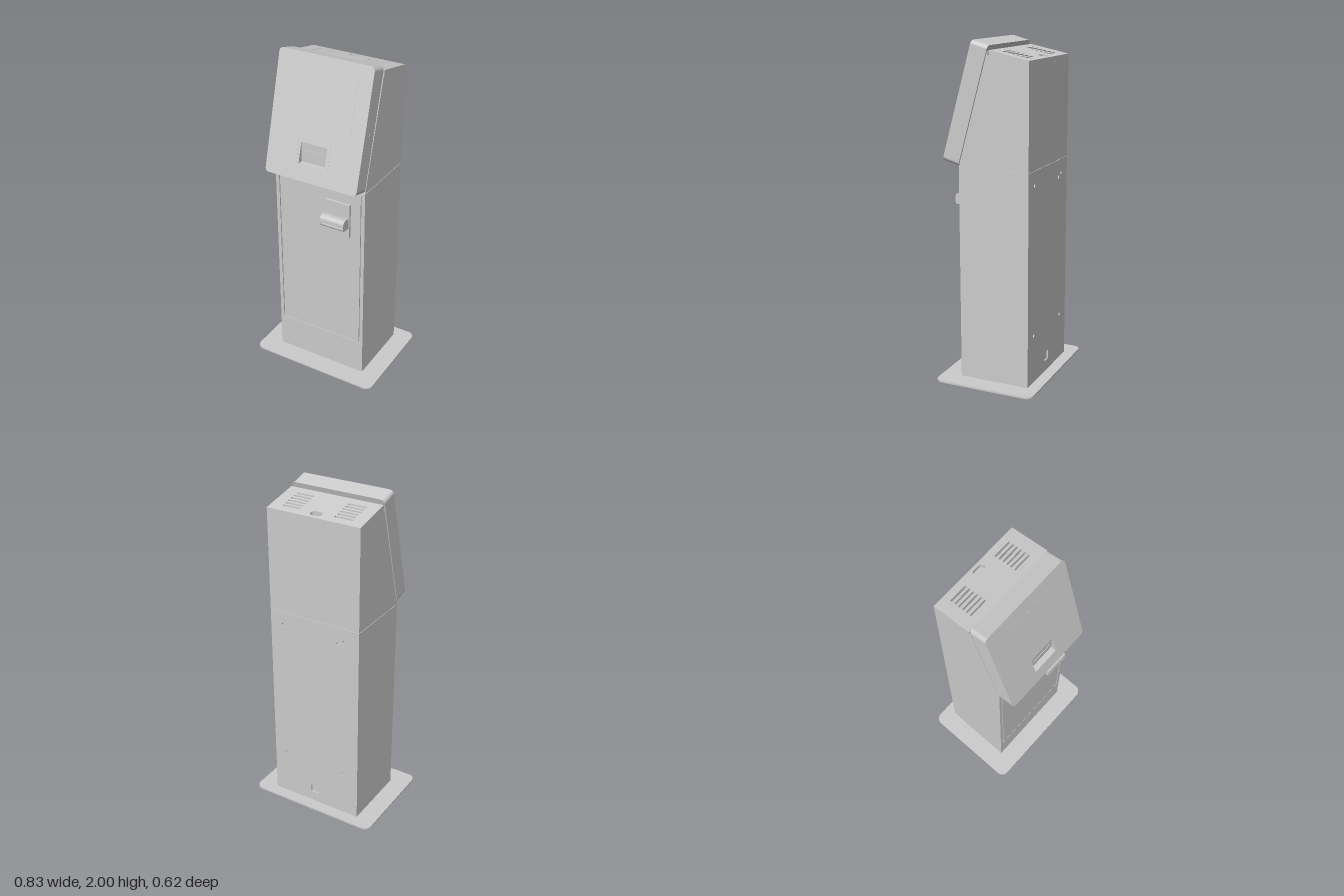
import * as THREE from 'three';

const material = new THREE.MeshStandardMaterial({ color: 0xcccccc });

function add(parent, name, geometry, x = 0, y = 0, z = 0) {
  const mesh = new THREE.Mesh(geometry, material);
  mesh.name = name;
  mesh.position.set(x, y, z);
  parent.add(mesh);
  return mesh;
}

// Box given by its limits on each axis
function box(parent, name, [x0, x1], [y0, y1], [z0, z1]) {
  return add(parent, name, new THREE.BoxGeometry(x1 - x0, y1 - y0, z1 - z0),
    (x0 + x1) / 2, (y0 + y1) / 2, (z0 + z1) / 2);
}

// Rounded rectangle outline; r = 0 gives square corners
function outline(target, x0, y0, x1, y1, r = 0) {
  if (r === 0) {
    target.moveTo(x0, y0).lineTo(x1, y0).lineTo(x1, y1).lineTo(x0, y1).closePath();
    return target;
  }
  target.absarc(x1 - r, y0 + r, r, -Math.PI / 2, 0);
  target.absarc(x1 - r, y1 - r, r, 0, Math.PI / 2);
  target.absarc(x0 + r, y1 - r, r, Math.PI / 2, Math.PI);
  target.absarc(x0 + r, y0 + r, r, Math.PI, Math.PI * 1.5);
  target.closePath();
  return target;
}

const hole = (...limits) => outline(new THREE.Path(), ...limits);
const roundHole = (x, y, r) => new THREE.Path().absarc(x, y, r, 0, Math.PI * 2);

function plate(shape, holes, depth) {
  shape.holes.push(...holes);
  return new THREE.ExtrudeGeometry(shape, { depth, bevelEnabled: false, curveSegments: 10 });
}

// Side profile of [z, y] points, extruded across x between two limits
function sideExtrude(shape, x0, x1) {
  return plate(shape, [], x1 - x0).rotateY(-Math.PI / 2).translate(x1, 0, 0);
}
const profile = (points) => new THREE.Shape(points.map(([z, y]) => new THREE.Vector2(z, y)));

export function createModel() {
  const model = new THREE.Group();
  model.name = 'kiosk';
  const W = 0.295;

  // Floor plate with bolt holes
  const bolts = [];
  for (const x of [-0.25, 0.25]) for (const z of [-0.145, 0.145]) bolts.push(roundHole(x, z, 0.008));
  add(model, 'basePlate', plate(outline(new THREE.Shape(), -0.413, -0.31, 0.413, 0.31, 0.045), bolts, 0.01)
    .rotateX(-Math.PI / 2));

  // Cabinet: core, perforated back, front skirt, posts and door
  const cabinet = new THREE.Group();
  cabinet.name = 'cabinet';
  model.add(cabinet);
  box(cabinet, 'cabinetBody', [-W, W], [0.01, 1.282], [-0.23, 0.18]);
  const backHoles = [[-0.21, 1.2], [0.16, 1.18], [0.2, 1.2], [-0.21, 0.305], [0.2, 0.3]]
    .map(([x, y]) => roundHole(x, y, 0.011));
  backHoles.push(hole(-0.035, 0.075, 0.02, 0.13));
  add(cabinet, 'backPanel', plate(outline(new THREE.Shape(), -W, 0.01, W, 1.282), backHoles, 0.01)
    .rotateY(Math.PI), 0, 0, -0.23);
  box(cabinet, 'frontSkirt', [-W, W], [0.01, 0.23], [0.18, 0.19]);
  box(cabinet, 'frontHeader', [-W, W], [1.268, 1.282], [0.18, 0.19]);
  for (const s of [-1, 1]) {
    box(cabinet, 'frontPost', [s * 0.284 - 0.011, s * 0.284 + 0.011], [0.23, 1.268], [0.18, 0.19]);
  }
  box(cabinet, 'door', [-0.268, 0.268], [0.233, 1.263], [0.18, 0.189]);
  for (const y of [0.27, 1.24]) {
    add(cabinet, 'doorLock', new THREE.CylinderGeometry(0.005, 0.005, 0.002, 16).rotateX(Math.PI / 2), 0.245, y, 0.189);
  }

  // Dispenser: mounting plate and rounded spout with a slot
  const dispenser = new THREE.Group();
  dispenser.name = 'dispenser';
  model.add(dispenser);
  box(dispenser, 'dispenserPlate', [0.042, 0.205], [0.98, 1.19], [0.185, 0.205]);
  const hood = new THREE.Shape();
  hood.moveTo(0.2, 1.07).lineTo(0.265, 1.07).lineTo(0.265, 1.088);
  hood.quadraticCurveTo(0.263, 1.108, 0.24, 1.11).lineTo(0.225, 1.11);
  hood.quadraticCurveTo(0.212, 1.105, 0.2, 1.105).closePath();
  add(dispenser, 'spoutHood', sideExtrude(hood, 0.047, 0.2));
  const lip = new THREE.Shape();
  lip.moveTo(0.2, 1.043).lineTo(0.245, 1.043).quadraticCurveTo(0.262, 1.044, 0.265, 1.06);
  lip.lineTo(0.2, 1.06).closePath();
  add(dispenser, 'spoutLip', sideExtrude(lip, 0.047, 0.2));
  box(dispenser, 'spoutThroat', [0.05, 0.197], [1.059, 1.071], [0.2, 0.235]);
  for (const x of [0.047, 0.194]) box(dispenser, 'spoutCheek', [x, x + 0.006], [1.059, 1.071], [0.2, 0.264]);

  // Head housing with a sloping, vented lid
  const head = new THREE.Group();
  head.name = 'head';
  model.add(head);
  add(head, 'headHousing', sideExtrude(profile([[-0.24, 1.285], [0.19, 1.285], [0.0086, 1.917], [-0.24, 1.865]]), -W, W));
  box(head, 'headSeam', [-W + 0.004, W - 0.004], [1.28, 1.287], [-0.236, 0.186]);
  const vents = [hole(-0.035, 0.18, 0.035, 0.222, 0.0209)];
  for (const s of [-1, 1]) {
    for (let i = 0; i < 6; i++) {
      const z = 0.055 + i * 0.0267;
      vents.push(hole(s * 0.165 - 0.056, z - 0.007, s * 0.165 + 0.056, z + 0.007));
    }
  }
  const lid = plate(outline(new THREE.Shape(), -W, 0, W, 0.24), vents, 0.03)
    .rotateX(-Math.PI / 2)
    .applyMatrix4(new THREE.Matrix4().makeShear(0, 0, 0, 0, 0, 0.208));
  add(head, 'ventedLid', lid, 0, 1.915, 0);

  // Tilted front panel; local y runs up the slope and local z out of it
  const panel = new THREE.Group();
  panel.name = 'screenPanel';
  panel.position.set(0, 1.29, 0.195);
  panel.rotation.x = -0.272;
  model.add(panel);
  const T = 0.103;
  add(panel, 'panelSlab', plate(outline(new THREE.Shape(), -W, 0, W, 0.706, 0.025),
    [hole(-0.085, 0.095, 0.082, 0.22)], T));
  box(panel, 'panelSeal', [-0.285, 0.285], [0.012, 0.67], [-0.008, 0.001]);
  box(panel, 'screen', [-0.21, 0.21], [0.31, 0.605], [T - 0.005, T + 0.0006]);
  add(panel, 'camera', new THREE.CylinderGeometry(0.005, 0.005, 0.002, 16).rotateX(Math.PI / 2), 0, 0.655, T);
  for (const x of [-0.103, 0.1]) {
    box(panel, 'sideStrip', [x - 0.002, x + 0.002], [0.088, 0.228], [T - 0.005, T + 0.001]);
  }
  box(panel, 'undersideLatch', [-0.04, 0.04], [-0.001, 0.004], [0.045, 0.065]);
  for (const s of [-1, 1]) {
    add(panel, 'sideLock', new THREE.CylinderGeometry(0.011, 0.011, 0.002, 20).rotateZ(Math.PI / 2), s * W, 0.33, 0.05);
  }

  // Wedge-shaped printer recess with an upright back and a level floor
  add(panel, 'printerRecess', sideExtrude(profile([[0, 0.095], [T, 0.095], [0.0718, 0.1046], [T, 0.22], [0, 0.22]]),
    -0.085, 0.082));
  const slot = box(panel, 'printerSlot', [-0.07, 0.065], [0.163, 0.176], [0.083, 0.093]);
  slot.rotation.x = 0.272;

  return model;
}
